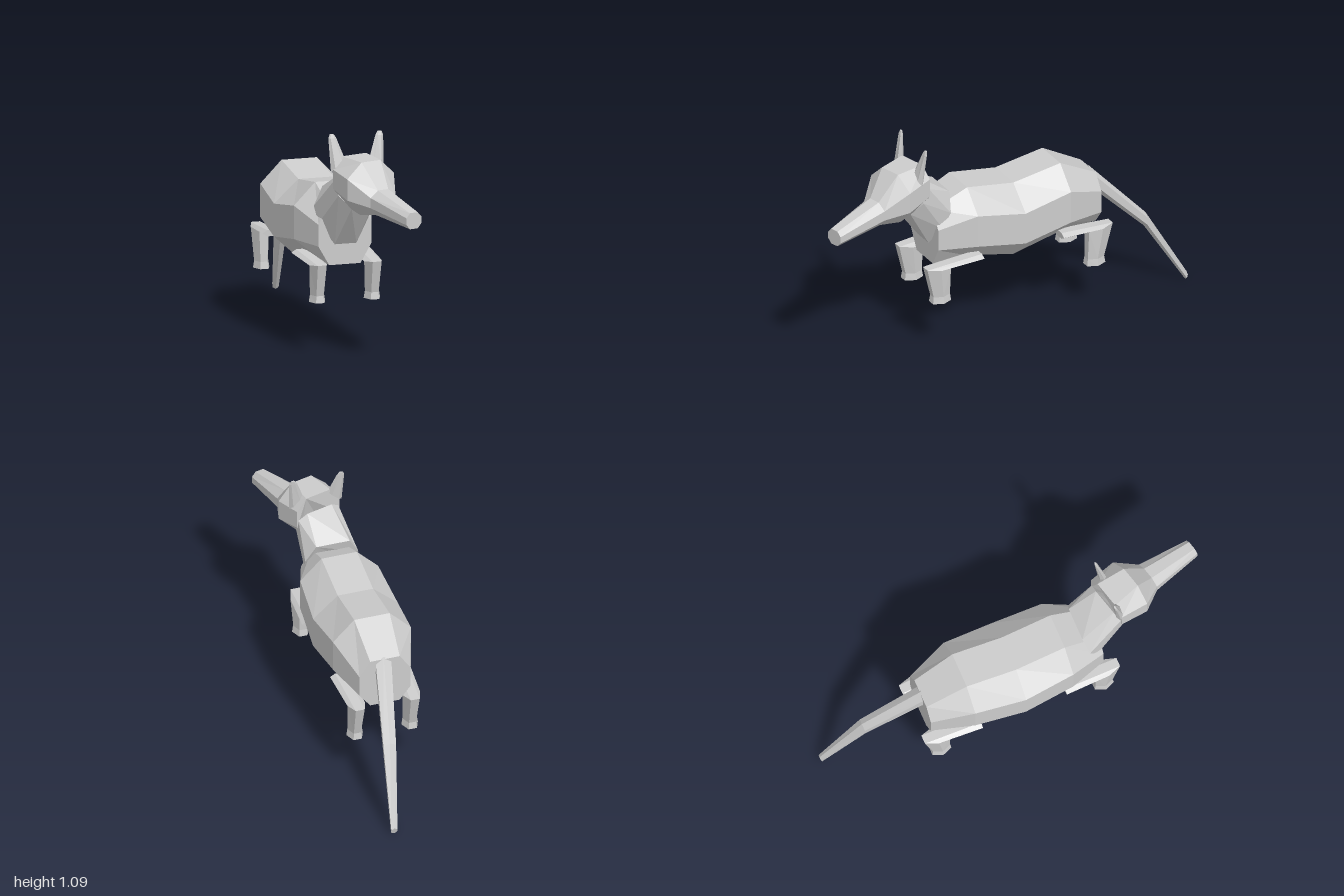
import * as THREE from 'three';

const grey = new THREE.MeshStandardMaterial({ color: 0xcccccc, flatShading: true });
grey.name = 'plainGrey';

// Skin a list of equal-length rings of [x, y, z], cap both ends, face outward.
function loft(name, rings) {
  const n = rings[0].length, tris = [];
  for (let r = 0; r < rings.length - 1; r++) {
    for (let i = 0; i < n; i++) {
      const j = (i + 1) % n, A = rings[r], B = rings[r + 1];
      tris.push([A[i], A[j], B[j]], [A[i], B[j], B[i]]);
    }
  }
  const last = rings[rings.length - 1];
  for (let i = 1; i < n - 1; i++) {
    tris.push([rings[0][0], rings[0][i + 1], rings[0][i]], [last[0], last[i], last[i + 1]]);
  }
  // Signed volume tells whether the winding has to be turned around
  const v = (p) => new THREE.Vector3(...p);
  const volume = tris.reduce((s, [a, b, c]) => s + v(a).dot(v(b).cross(v(c))), 0);
  if (volume < 0) tris.forEach((t) => t.reverse());
  const geo = new THREE.BufferGeometry();
  geo.setAttribute('position', new THREE.Float32BufferAttribute(tris.flat(2), 3));
  geo.computeVertexNormals();
  const mesh = new THREE.Mesh(geo, grey);
  mesh.name = name;
  return mesh;
}

// Eight-sided section, symmetric in x, from four [halfWidth, y, z] corners top to bottom
const section = (corners) => [
  ...corners.map(([w, y, z]) => [w, y, z]),
  ...corners.slice().reverse().map(([w, y, z]) => [-w, y, z]),
];
const flat = (z, a, w, top, upper, lower, bottom) =>
  section([[a, top, z], [w, upper, z], [w, lower, z], [a, bottom, z]]);

// Turn a ring about the vertical and move it (the head looks to its left)
const YAW = 0.262;
const turn = (ring, cx, cz) => ring.map(([x, y, z]) => [
  cx + x * Math.cos(YAW) + z * Math.sin(YAW), y,
  cz - x * Math.sin(YAW) + z * Math.cos(YAW),
]);

// Six points around a circle
const hex = (fn) => Array.from({ length: 6 }, (_, i) =>
  fn(Math.cos(i * Math.PI / 3), Math.sin(i * Math.PI / 3)));

function leg(name, side, dir, p) {
  const ring = (y, z, rx, half, tilt = 0, cx = 0.14) => hex((c, s) =>
    [side * (cx + rx * c), y + tilt * s, dir * (z + half * s / 0.866)]);
  return loft(name, [
    hex((c, s) => [side * (0.15 + 0.05 * c), 0.45 + 0.018 * s, dir * p.hip]),
    ring(0.435, p.knee, 0.045, 0.065, 0.01),
    ring(p.foot + 0.035, p.ankle, 0.036, 0.045),
    ring(p.foot, p.ankle, 0.042, 0.05),
  ]);
}

export function createModel() {
  const model = new THREE.Group();
  model.name = 'longSnoutedAnimal';

  // Barrel body
  model.add(loft('body', [
    flat(0.39, 0.08, 0.135, 0.72, 0.63, 0.522, 0.426),
    flat(0.205, 0.09, 0.198, 0.8, 0.69, 0.524, 0.428),
    flat(-0.05, 0.09, 0.215, 0.76, 0.647, 0.484, 0.37),
    flat(-0.31, 0.09, 0.198, 0.8, 0.69, 0.524, 0.428),
    flat(-0.515, 0.075, 0.13, 0.69, 0.61, 0.497, 0.426),
  ]));

  // Neck, twisting toward the turned head
  model.add(loft('neck', [
    section([[0.085, 0.8, 0.3], [0.135, 0.71, 0.32], [0.125, 0.63, 0.36], [0.055, 0.53, 0.4]]),
    turn(section([[0.07, 0.9, -0.01], [0.115, 0.87, 0], [0.11, 0.8, 0.03], [0.06, 0.735, 0.07]]), 0.02, 0.47),
  ]));

  // Head and snout, measured along the turned axis from the back of the skull
  const head = [
    [[0.07, 0.985, 0], [0.122, 0.925, 0], [0.122, 0.83, 0], [0.06, 0.735, 0.06]],
    [[0.055, 0.98, 0.15], [0.135, 0.905, 0.145], [0.135, 0.8, 0.145], [0.06, 0.72, 0.14]],
    [[0.03, 0.858, 0.255], [0.072, 0.825, 0.255], [0.072, 0.775, 0.255], [0.035, 0.735, 0.25]],
    [[0.022, 0.795, 0.525], [0.043, 0.772, 0.525], [0.043, 0.738, 0.525], [0.022, 0.715, 0.525]],
  ];
  model.add(loft('head', head.map((c) => turn(section(c), 0.02, 0.47))));

  // Ears: thin blades leaning outward
  for (const side of [-1, 1]) {
    const ear = (x, y, z, w, d, slope) => hex((c, s) =>
      [0.028 + side * (x + w * c), y - slope * c, z + d * s]);
    model.add(loft(side > 0 ? 'leftEar' : 'rightEar', [
      ear(0.098, 0.94, 0.495, 0.036, 0.02, 0.03),
      ear(0.12, 1.075, 0.472, 0.02, 0.008, 0),
      ear(0.122, 1.094, 0.468, 0.01, 0.005, 0),
    ]));
  }

  // Four legs, each bending from a flat thigh down to the foot
  const fore = { hip: 0.17, knee: 0.4, ankle: 0.383, foot: 0.25 };
  const hind = { hip: 0.27, knee: 0.495, ankle: 0.47, foot: 0.238 };
  for (const side of [-1, 1]) {
    const label = side > 0 ? 'left' : 'right';
    model.add(leg(label + 'FrontLeg', side, 1, fore));
    model.add(leg(label + 'HindLeg', side, -1, hind));
  }

  // Tail sweeping down and to the left
  const tail = [
    [0.005, 0.65, -0.505, 0.046, 0.05],
    [0.065, 0.36, -0.79, 0.037, 0.035],
    [0.108, 0.018, -0.995, 0.018, 0.018],
  ];
  model.add(loft('tail', tail.map(([x, y, z, w, h]) =>
    hex((c, s) => [x + w * s, y + h * c, z - 0.005 * c]))));

  return model;
}
